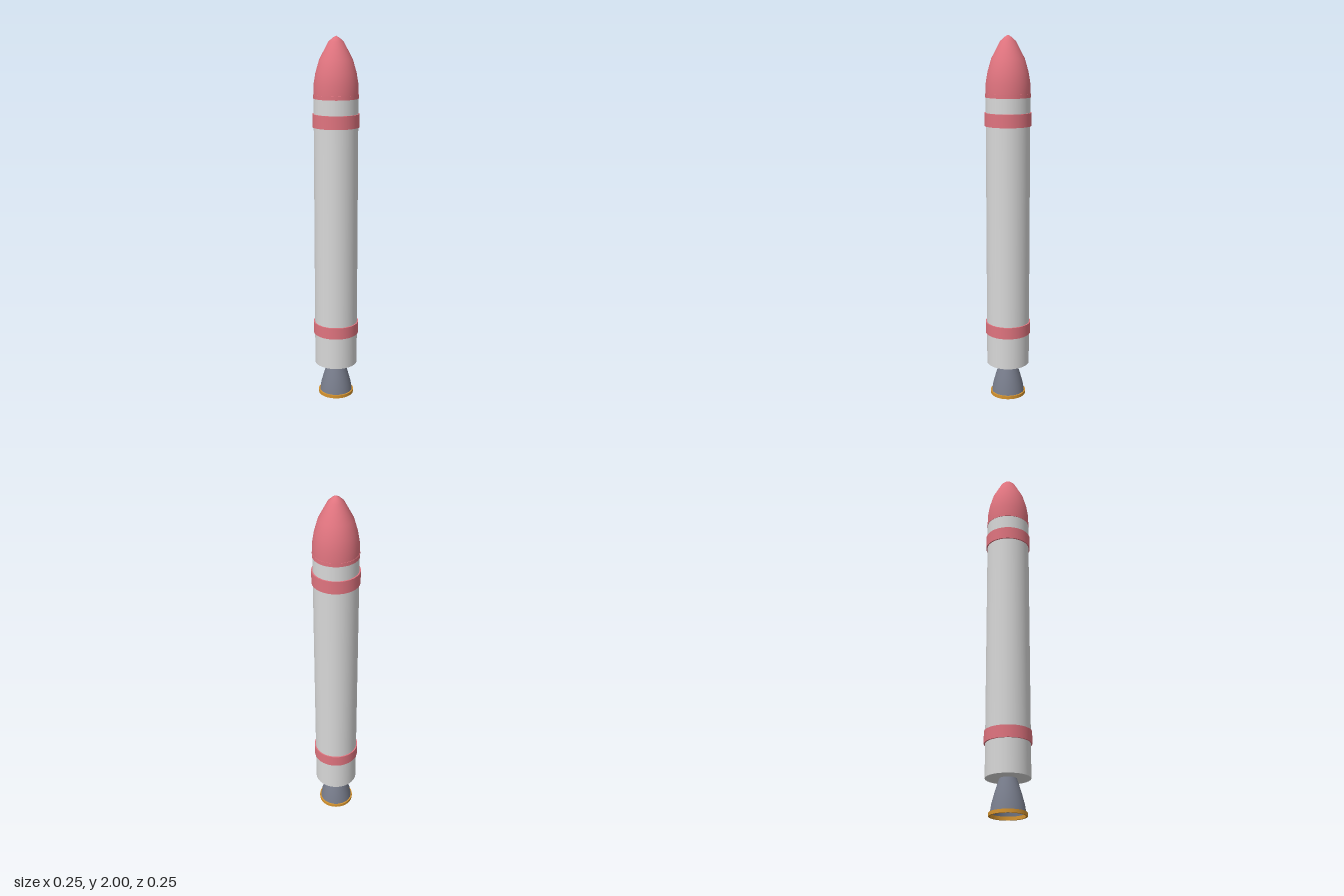
import * as THREE from 'three';

const SEGMENTS = 48;

export function createModel() {
  const group = new THREE.Group();
  group.name = 'rocket';

  const material = (name, color, side = THREE.FrontSide) => {
    const m = new THREE.MeshStandardMaterial({ color, side });
    m.name = name;
    return m;
  };
  const white = material('hull white', 0xd8d8d8);
  const red = material('soft red', 0xe0747f);
  const steel = material('nozzle steel', 0x787d8c, THREE.DoubleSide);
  const gold = material('rim gold', 0xd6942f);

  const add = (name, geometry, mat, y = 0) => {
    const mesh = new THREE.Mesh(geometry, mat);
    mesh.name = name;
    mesh.position.y = y;
    group.add(mesh);
  };
  const cylinder = (name, radius, bottom, top, mat) =>
    add(name, new THREE.CylinderGeometry(radius, radius, top - bottom, SEGMENTS), mat, (bottom + top) / 2);
  const lathe = (points) =>
    new THREE.LatheGeometry(points.map(([r, y]) => new THREE.Vector2(r, y)), SEGMENTS);

  // Main tank and its two raised bands
  cylinder('body', 0.118, 0.19, 1.69, white);
  cylinder('lowerBand', 0.125, 0.37, 0.435, red);
  cylinder('upperBand', 0.125, 1.53, 1.6, red);

  // Nose cone: short collar, then a faceted ogive
  cylinder('noseCollar', 0.12, 1.68, 1.7, red);
  add('noseCone', lathe([
    [0.118, 1.69], [0.118, 1.75], [0.108, 1.81], [0.088, 1.88], [0.04, 1.97], [0.018, 1.99], [0, 2],
  ]), red);

  // Open engine bell
  add('nozzle', lathe([
    [0.092, 0.01], [0.084, 0.06], [0.069, 0.115], [0.055, 0.16], [0.043, 0.195],
  ]), steel);

  // Rim around the mouth of the bell: each wall is its own strip to keep edges sharp
  const rim = [[0.088, 0], [0.098, 0], [0.098, 0.018], [0.088, 0.018]];
  rim.forEach((corner, i) => add('nozzleRim', lathe([corner, rim[(i + 1) % 4]]), gold));

  return group;
}
